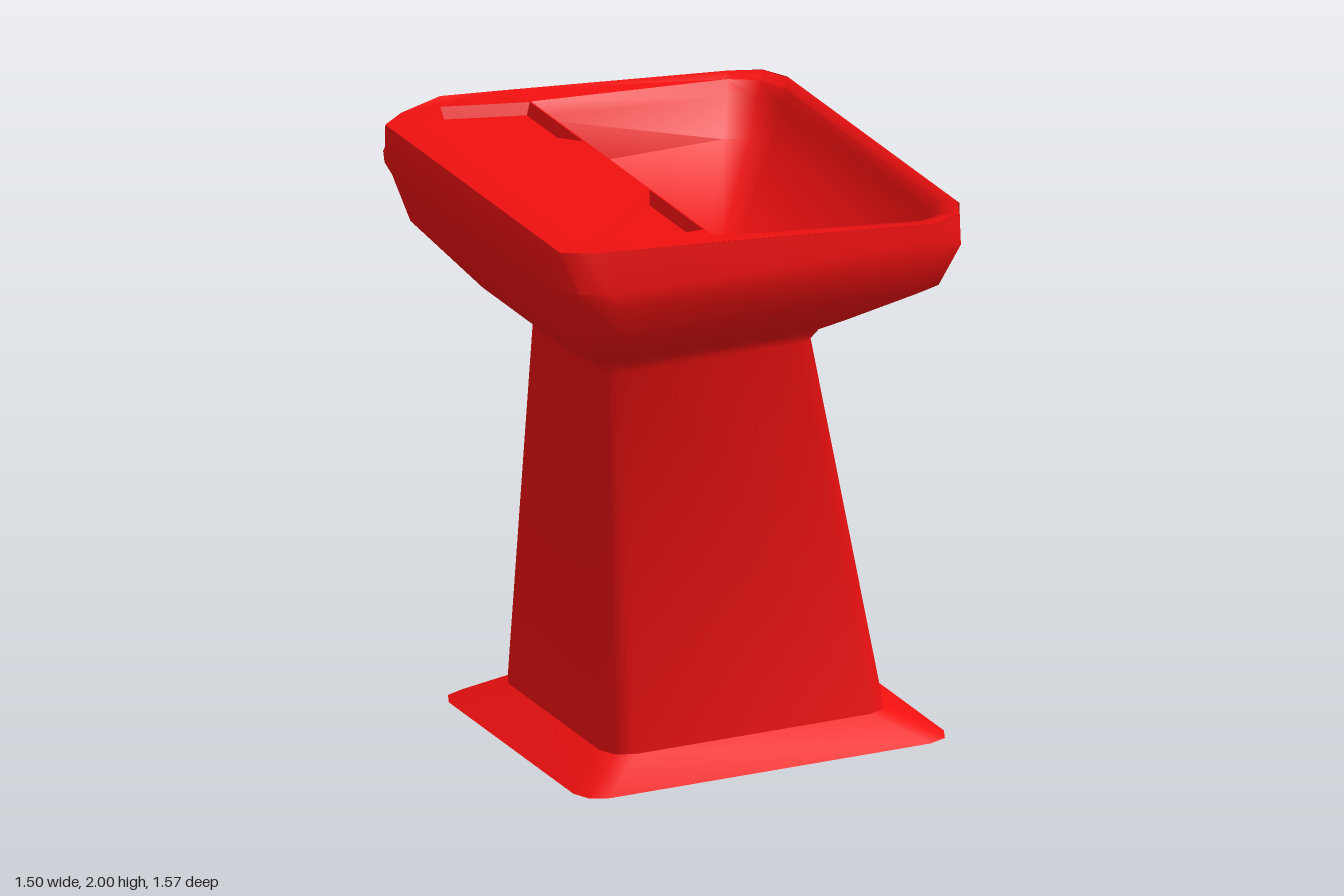
import * as THREE from 'three';
import { toCreasedNormals } from 'three/addons/utils/BufferGeometryUtils.js';

const red = new THREE.MeshStandardMaterial({ color: 0xf01010, side: THREE.DoubleSide });
const blue = new THREE.MeshStandardMaterial({ color: 0x1010f0, side: THREE.DoubleSide });
const WALL_X = -0.21; // inner edge of the rear deck

// height of the rim and deck: falls gently towards the +x edge
function rimY(x) {
  if (x < -0.48) return 2 + (x + 0.48) * 0.058;
  return x < 0.57 ? 2 - (x + 0.48) * 0.0762 : 1.917;
}

// skin between rows of points that all have the same length
function loft(rows, closed, crease = 0.85) {
  const n = rows[0].length, index = [];
  for (let r = 0; r < rows.length - 1; r++) {
    for (let i = 0; i < (closed ? n : n - 1); i++) {
      const a = r * n + i, b = r * n + (i + 1) % n;
      index.push(a, a + n, b + n, a, b + n, b);
    }
  }
  const g = new THREE.BufferGeometry();
  g.setAttribute('position', new THREE.Float32BufferAttribute(rows.flat(2), 3));
  g.setIndex(index);
  return toCreasedNormals(g, crease);
}

// rectangle with rounded corners (two facets each), lying at height y
function ring(x0, x1, zh, c, y) {
  const half = [[x1, zh - c], [x1 - 0.3 * c, zh - 0.3 * c], [x1 - c, zh],
    [x0 + c, zh], [x0 + 0.3 * c, zh - 0.3 * c], [x0, zh - c]];
  return mirrorRing(half, () => y);
}
function mirrorRing(half, yOf) {
  const other = [...half].reverse().map(([x, z]) => [x, -z]);
  return [...half, ...other].map(([x, z]) => [x, yOf(x), z]);
}

// basin row: from the deck wall round the far edge and back to the wall
function basinRow(x1, zBack, zFront, c, yOf) {
  const half = [[x1, zFront - c], [x1 - 0.3 * c, zFront - 0.3 * c], [x1 - c, zFront], [WALL_X, zBack]];
  const other = [...half].reverse().map(([x, z]) => [x, -z]);
  return [...other, ...half].map(([x, z]) => [x, yOf(x), z]);
}

const shapeOf = (pts) => new THREE.Shape(pts.map(([x, y]) => new THREE.Vector2(x, y)));

export function createModel() {
  const model = new THREE.Group();
  const add = (name, geometry, material = red) => {
    const mesh = new THREE.Mesh(geometry, material);
    mesh.name = name;
    model.add(mesh);
    return mesh;
  };

  // flared foot, open underneath
  const pedestalFoot = ring(-0.445, 0.59, 0.43, 0.09, 0.085);
  add('footFlange', loft([ring(-0.6, 0.75, 0.56, 0.09, 0), pedestalFoot], true));

  // pedestal running smoothly into the outside of the bowl
  const backHalf = [[-0.48, 0.785], [-0.65, 0.725], [-0.74, 0.66]];
  const topRing = mirrorRing([[0.72, 0.65], [0.675, 0.745], [0.57, 0.785], ...backHalf], rimY);
  add('pedestalAndBowl', loft([
    pedestalFoot,
    ring(-0.405, 0.375, 0.32, 0.09, 1.38),
    ring(-0.43, 0.4, 0.34, 0.09, 1.42),
    ring(-0.54, 0.51, 0.45, 0.11, 1.49),
    ring(-0.68, 0.665, 0.735, 0.14, 1.66),
    ring(-0.72, 0.72, 0.785, 0.135, 1.81),
    ring(-0.75, 0.72, 0.785, 0.14, 1.86),
    topRing,
  ], true));

  // rim and inside of the basin, closing at the drain
  const rows = [
    basinRow(0.72, 0.785, 0.785, 0.15, rimY),
    basinRow(0.68, 0.69, 0.73, 0.14, (x) => rimY(x) - 0.012),
    basinRow(0.655, 0.66, 0.7, 0.13, (x) => rimY(x) - 0.06),
    basinRow(0.6, 0.63, 0.64, 0.12, () => 1.74),
    basinRow(0.32, 0.28, 0.28, 0.08, () => 1.55),
  ];
  const centre = rows[0].map(([x]) => (x === WALL_X ? [WALL_X, 1.55, 0] : [0.03, 1.52, 0]));
  add('basin', loft([...rows, centre], false));

  // upright wall under the deck edge, with the overflow slot
  const slot = [[-0.2, 1.795], [0.2, 1.795], [0.2, 1.845], [-0.2, 1.845]];
  const side = rows.map((row) => row[row.length - 1]).map(([, y, z]) => [z, y]);
  const wall = shapeOf([...side, ...[...side].reverse().map(([z, y]) => [-z, y])]);
  wall.holes.push(shapeOf(slot));
  add('basinWall', new THREE.ShapeGeometry(wall).rotateY(Math.PI / 2).translate(WALL_X, 0, 0));
  const slotRow = (x) => slot.map(([z, y]) => [x, y, z]);
  add('overflowSlot', loft([slotRow(WALL_X), slotRow(WALL_X - 0.05)], true, 0.3));
  add('overflowSlotBack', new THREE.ShapeGeometry(shapeOf(slot))
    .rotateY(Math.PI / 2).translate(WALL_X - 0.05, 0, 0));

  // flat sheet in x and z, lifted to the sloping rim height
  const sheet = (shape, drop) => {
    const g = new THREE.ShapeGeometry(shape).rotateX(-Math.PI / 2);
    const p = g.attributes.position;
    for (let i = 0; i < p.count; i++) p.setY(i, rimY(p.getX(i)) - drop);
    g.computeVertexNormals();
    return g;
  };

  // rear deck with a shallow soap recess on each side
  const deckHalf = [[WALL_X, 0.785], ...backHalf];
  const deck = shapeOf([...deckHalf, ...[...deckHalf].reverse().map(([x, z]) => [x, -z])]);
  const recessTop = [[-0.6, 0.62], [-0.52, 0.7], [-0.216, 0.655], [-0.216, 0.25]];
  const recessFloor = [[-0.583, 0.62], [-0.515, 0.683], [-0.234, 0.64], [-0.234, 0.285]];
  for (const s of [1, -1]) {
    const flip = (pts) => pts.map(([x, z]) => [x, z * s]);
    const row = (pts, drop) => flip(pts).map(([x, z]) => [x, rimY(x) - drop, z]);
    deck.holes.push(shapeOf(flip(recessTop)));
    const label = s > 0 ? 'front' : 'rear';
    const sides = [row(recessTop, 0), row(recessFloor, 0.04)];
    if (s > 0) sides.forEach((r) => r.reverse());
    add(label + 'SoapRecessSides', loft(sides, true, 0.3));
    // the sheet is mirrored in z when it is laid flat
    add(label + 'SoapRecessFloor', sheet(shapeOf(flip(recessFloor)), 0.04));
  }
  add('deck', sheet(deck, 0));

  // drain
  const drain = add('drain', new THREE.CircleGeometry(0.045, 24).rotateX(-Math.PI / 2), blue);
  drain.position.set(0.03, 1.532, 0);

  return model;
}
